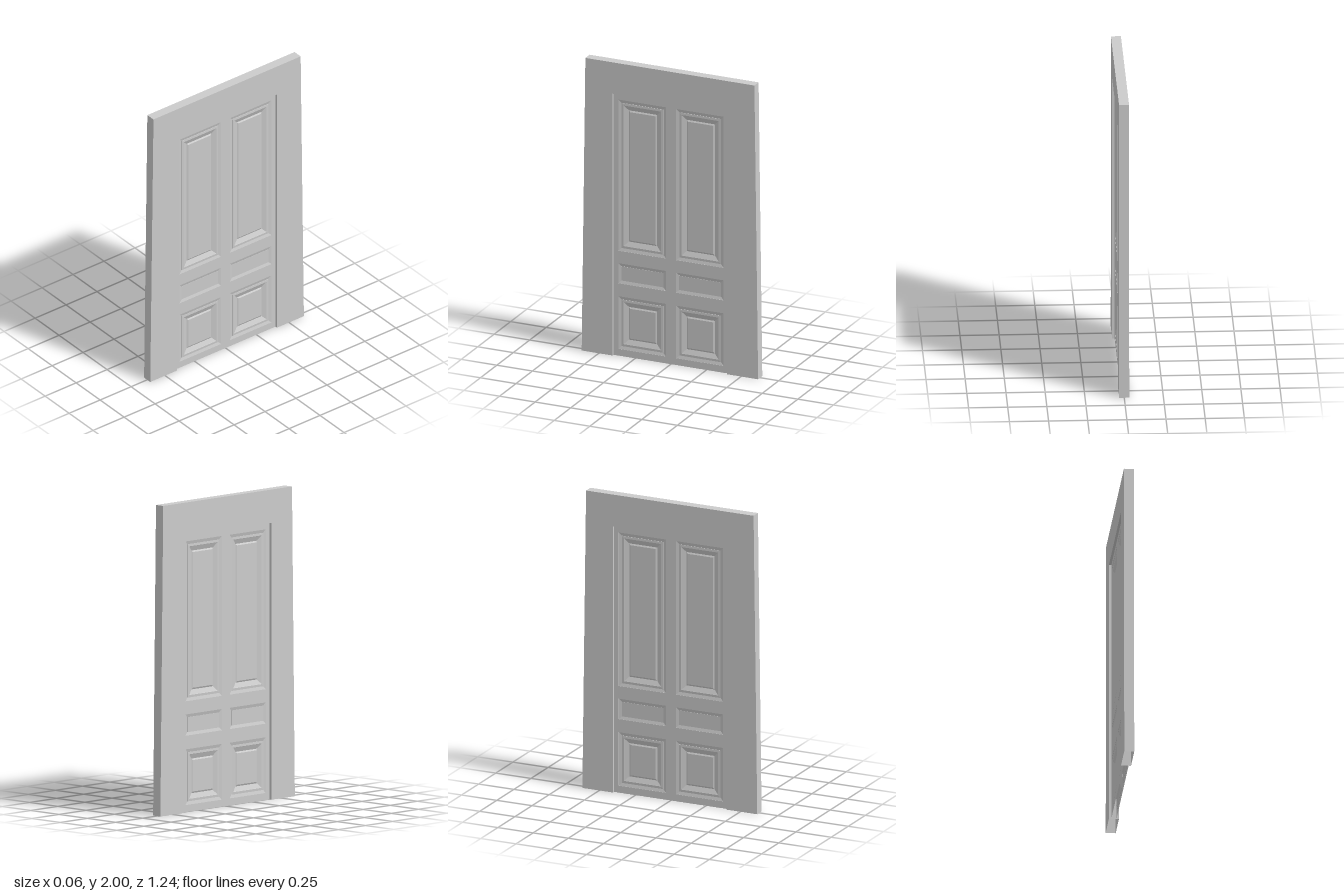
import * as THREE from 'three';

const material = new THREE.MeshStandardMaterial({
  color: 0xcccccc, flatShading: true, side: THREE.DoubleSide,
});

const WALL_HALF = 0.032;   // half thickness of the surround
const DOOR_FACE = 0.0165;  // distance of each door face from the middle
const OPEN_HALF = 0.403;   // half width of the opening
const OPEN_TOP = 1.786;

function addMesh(parent, geometry, name) {
  const mesh = new THREE.Mesh(geometry, material);
  mesh.name = name;
  parent.add(mesh);
  return mesh;
}

function outline(points, Type = THREE.Shape) {
  return new Type(points.map(([x, y]) => new THREE.Vector2(x, y)));
}

function rectPoints({ x0, x1, y0, y1 }, inset = 0) {
  return [
    [x0 + inset, y0 + inset], [x1 - inset, y0 + inset],
    [x1 - inset, y1 - inset], [x0 + inset, y1 - inset],
  ];
}

// Flat geometry from four-cornered faces, corners anticlockwise
function quadGeometry(quads) {
  const positions = quads.flatMap(([a, b, c, d]) => [a, b, c, a, c, d].flat());
  const geometry = new THREE.BufferGeometry();
  geometry.setAttribute('position', new THREE.Float32BufferAttribute(positions, 3));
  geometry.computeVertexNormals();
  return geometry;
}

// Moulded panel: mitred rectangular rings, each profile entry is [inset, height]
function panelGeometry(rect, profile) {
  const rings = profile.map(([inset, z]) => rectPoints(rect, inset).map(([x, y]) => [x, y, z]));
  const quads = [rings[rings.length - 1]];
  for (let i = 0; i < rings.length - 1; i++) {
    for (let j = 0; j < 4; j++) {
      const k = (j + 1) % 4;
      quads.push([rings[i][j], rings[i][k], rings[i + 1][k], rings[i + 1][j]]);
    }
  }
  return quadGeometry(quads);
}

// Edge faces of the surround along an open path
function edgeGeometry(path) {
  return quadGeometry(path.slice(1).map((b, i) => {
    const a = path[i];
    return [[...a, -WALL_HALF], [...b, -WALL_HALF], [...b, WALL_HALF], [...a, WALL_HALF]];
  }));
}

// Stepped moulding with a slightly raised field, and a plain sunk moulding
const raisedProfile = [
  [0, DOOR_FACE], [0, 0.015], [0.021, 0.0095], [0.021, 0.0125], [0.036, 0.0135],
  [0.038, 0.0125], [0.068, 0.0005], [0.078, 0.0055],
];
const plainProfile = [[0, DOOR_FACE], [0, 0.015], [0.02, 0.0095], [0.02, 0.0115]];

const panelRows = [
  { name: 'upperPanel', y0: 0.715, y1: 1.746, profile: raisedProfile },
  { name: 'middlePanel', y0: 0.493, y1: 0.63, profile: plainProfile },
  { name: 'lowerPanel', y0: 0.046, y1: 0.405, profile: raisedProfile },
];

function createDoorFace(name) {
  const face = new THREE.Group();
  face.name = name;
  const frame = outline(rectPoints({ x0: -OPEN_HALF, x1: OPEN_HALF, y0: 0, y1: OPEN_TOP }));
  for (const { name: panelName, y0, y1, profile } of panelRows) {
    for (const [x0, x1, side] of [[-0.37, -0.036, 'A'], [0.036, 0.37, 'B']]) {
      const rect = { x0, x1, y0, y1 };
      frame.holes.push(outline(rectPoints(rect).reverse(), THREE.Path));
      addMesh(face, panelGeometry(rect, profile), panelName + side);
    }
  }
  // Stiles and rails around the panels
  addMesh(face, new THREE.ShapeGeometry(frame), 'stilesAndRails').position.z = DOOR_FACE;
  return face;
}

export function createModel() {
  const model = new THREE.Group();
  model.name = 'panelledDoor';
  const body = new THREE.Group();
  body.name = 'doorAndSurround';
  body.rotation.y = Math.PI / 2;
  model.add(body);

  // Tapered surround, hollow and open underneath
  const outer = [[0.62, 0], [0.594, 2], [-0.594, 2], [-0.62, 0]];
  const opening = [[-OPEN_HALF, 0], [-OPEN_HALF, OPEN_TOP], [OPEN_HALF, OPEN_TOP], [OPEN_HALF, 0]];
  addMesh(body, edgeGeometry(outer), 'surroundEdge');
  addMesh(body, edgeGeometry(opening), 'jambsAndLintel');

  // The same surround and moulded door face on both sides
  const surround = new THREE.ShapeGeometry(outline([...outer, ...opening]));
  for (const [side, turn] of [['A', 0], ['B', Math.PI]]) {
    const half = new THREE.Group();
    half.name = 'side' + side;
    half.rotation.y = turn;
    addMesh(half, surround, 'surroundFace' + side).position.z = WALL_HALF;
    half.add(createDoorFace('doorFace' + side));
    body.add(half);
  }

  return model;
}
